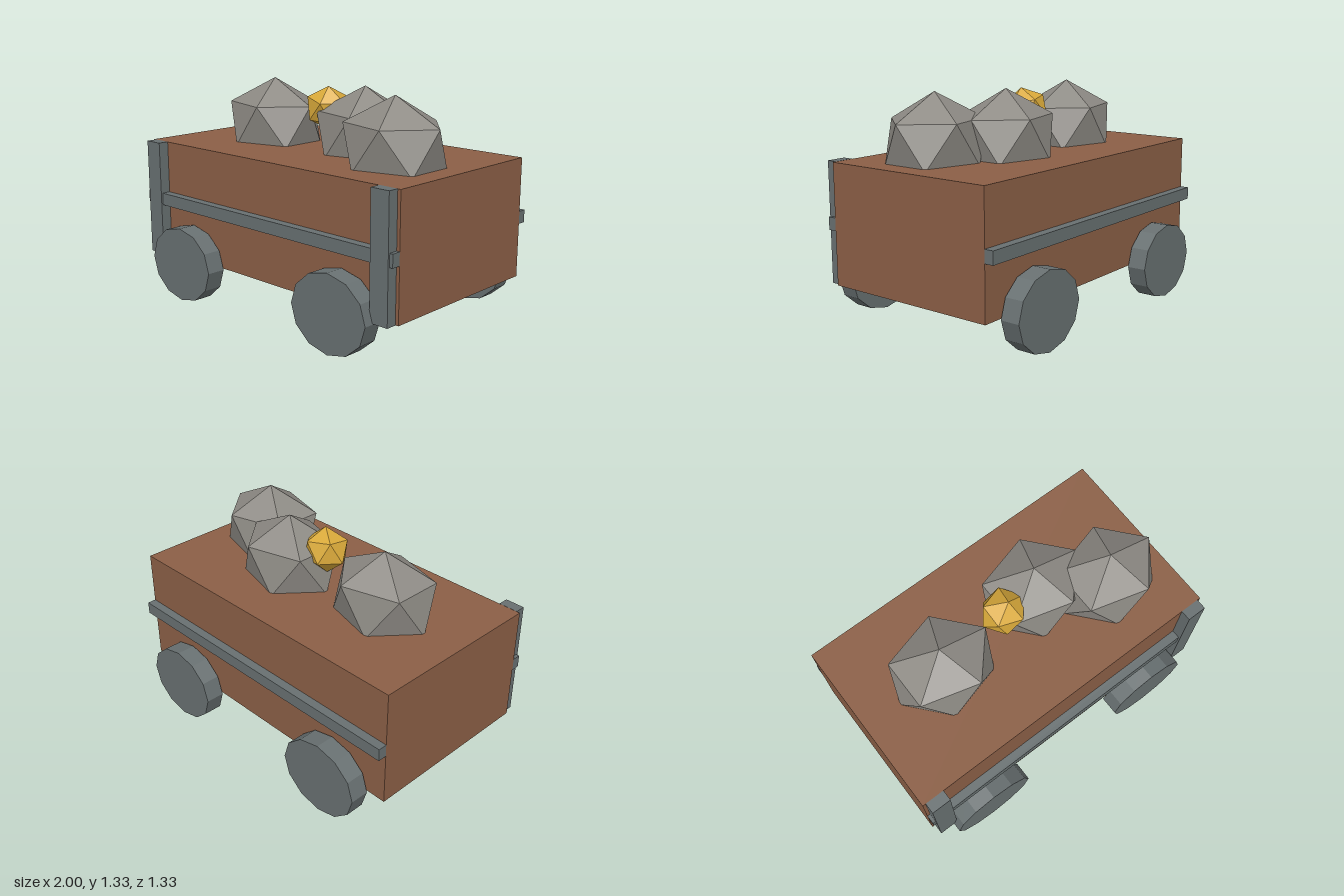
import * as THREE from 'three';
import { ConvexGeometry } from 'three/addons/geometries/ConvexGeometry.js';

const material = (name, color) => {
  const m = new THREE.MeshStandardMaterial({ color });
  m.name = name;
  return m;
};

// Twenty-sided stone standing on a point, with one upper corner toward +x
function stoneGeometry() {
  const points = [new THREE.Vector3(0, 1, 0), new THREE.Vector3(0, -1, 0)];
  for (let i = 0; i < 5; i++) {
    const a = (i * Math.PI * 2) / 5;
    const x = 0.894 * Math.cos(a), z = 0.894 * Math.sin(a);
    points.push(new THREE.Vector3(x, 0.447, z), new THREE.Vector3(-x, -0.447, -z));
  }
  return new ConvexGeometry(points);
}

export function createModel() {
  const cart = new THREE.Group();
  cart.name = 'oreCart';
  const wood = material('brown wood', 0x8b5f46);
  const iron = material('grey iron', 0x687071);
  const stone = material('grey stone', 0x8d8a84);
  const gold = material('gold', 0xd9a93a);

  const add = (name, geometry, mat, x, y, z) => {
    const mesh = new THREE.Mesh(geometry, mat);
    mesh.name = name;
    mesh.position.set(x, y, z);
    cart.add(mesh);
    return mesh;
  };

  // Wooden body
  add('body', new THREE.BoxGeometry(2, 0.71, 1.09), wood, 0, 0.588, 0);

  // Iron rails on both long sides
  const rail = new THREE.BoxGeometry(2, 0.075, 0.055);
  add('frontRail', rail, iron, 0, 0.588, 0.571);
  add('backRail', rail, iron, 0, 0.588, -0.571);

  // Corner posts on the front side only
  const post = new THREE.BoxGeometry(0.12, 0.712, 0.065);
  add('leftPost', post, iron, 0.92, 0.588, 0.577);
  add('rightPost', post, iron, -0.92, 0.588, 0.577);

  // Slightly oval twelve-sided wheels
  const wheel = new THREE.CylinderGeometry(1, 1, 0.115, 12);
  wheel.rotateX(Math.PI / 2);
  wheel.scale(0.267, 0.228, 1);
  const wheelGeometry = wheel.toNonIndexed();
  wheelGeometry.computeVertexNormals();
  for (const x of [0.616, -0.616])
    for (const z of [0.609, -0.609])
      add((z > 0 ? 'front' : 'back') + (x > 0 ? 'Left' : 'Right') + 'Wheel', wheelGeometry, iron, x, 0.228, z);

  // Load of large stones
  const rock = stoneGeometry().scale(0.341, 0.281, 0.288);
  [[-0.46, 0], [0.23, -0.065], [0.615, 0.13]].forEach(([x, z], i) =>
    add('stone' + (i + 1), rock, stone, x, 1.05, z));

  // Tilted gold nugget
  const nugget = stoneGeometry().rotateZ(-0.17).rotateX(0.14).scale(0.143, 0.135, 0.133);
  add('goldNugget', nugget, gold, -0.022, 1.183, -0.015);

  return cart;
}
